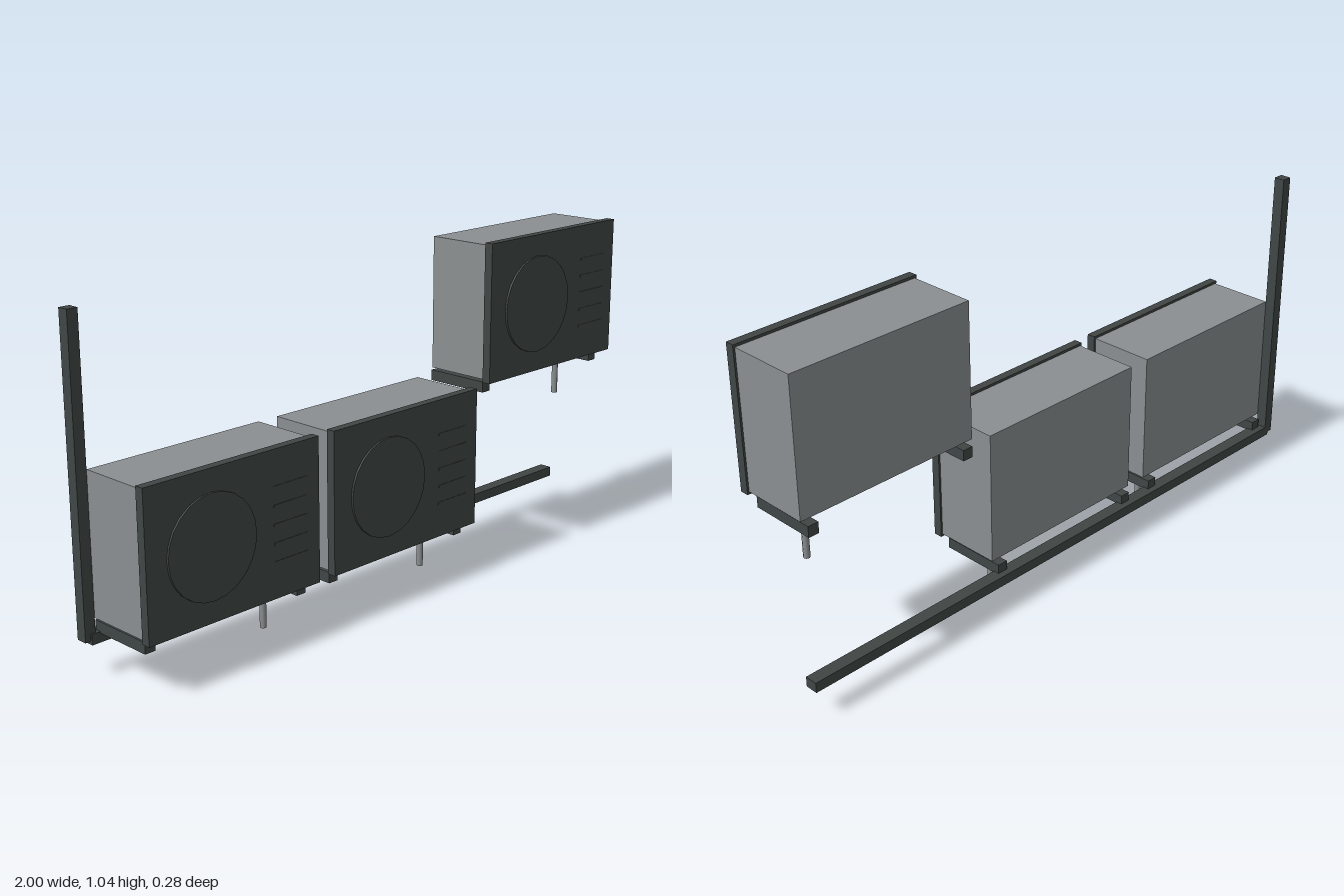
import * as THREE from 'three';

const dark = new THREE.MeshStandardMaterial({ color: 0x404645 });
dark.name = 'charcoal';
const grey = new THREE.MeshStandardMaterial({ color: 0x8b8f91 });
grey.name = 'casing grey';

// Box given by its extents on each axis
function box(name, [x0, x1], [y0, y1], [z0, z1], material) {
  const mesh = new THREE.Mesh(new THREE.BoxGeometry(x1 - x0, y1 - y0, z1 - z0), material);
  mesh.position.set((x0 + x1) / 2, (y0 + y1) / 2, (z0 + z1) / 2);
  mesh.name = name;
  return mesh;
}

// One outdoor condenser; its origin is at the bottom centre of the front panel
function condenser(name, x, y) {
  const unit = new THREE.Group();
  unit.name = name;
  unit.position.set(x, y, 0);

  unit.add(box('casing', [-0.301, 0.301], [0.008, 0.429], [-0.106, 0.109], grey));
  unit.add(box('frontPanel', [-0.307, 0.307], [0, 0.437], [0.108, 0.136], dark));

  // Fan cover, a shallow disc on the panel
  const fan = new THREE.Mesh(new THREE.CylinderGeometry(0.153, 0.153, 0.009, 24), dark);
  fan.rotation.x = Math.PI / 2;
  fan.position.set(-0.086, 0.218, 0.138);
  fan.name = 'fanCover';
  unit.add(fan);

  // Vent slats beside the fan
  for (let i = -2; i <= 2; i++) {
    const sy = 0.218 + i * 0.055;
    unit.add(box('ventSlat', [0.135, 0.26], [sy - 0.004, sy + 0.004], [0.134, 0.1375], dark));
  }

  // Support feet
  for (const side of [-1, 1]) {
    const fx = side * 0.272;
    unit.add(box('foot', [fx - 0.017, fx + 0.017], [-0.039, -0.005], [-0.12, 0.094], dark));
  }

  // Drain pipe
  const pipe = new THREE.Mesh(new THREE.CylinderGeometry(0.01, 0.01, 0.143, 8), grey);
  pipe.position.set(0.232, -0.0945, -0.027);
  pipe.name = 'drainPipe';
  unit.add(pipe);
  return unit;
}

export function createModel() {
  const model = new THREE.Group();
  model.name = 'condenserRow';
  model.add(condenser('rightUnit', -0.665, 0.166));
  model.add(condenser('middleUnit', 0.008, 0.166));
  model.add(condenser('raisedLeftUnit', 0.68, 0.606));

  // Cable ducts along the wall
  model.add(box('horizontalDuct', [-0.982, 1], [0.1, 0.132], [-0.141, -0.1], dark));
  model.add(box('verticalDuct', [-1, -0.966], [0.11, 1.028], [-0.141, -0.106], dark));
  return model;
}
